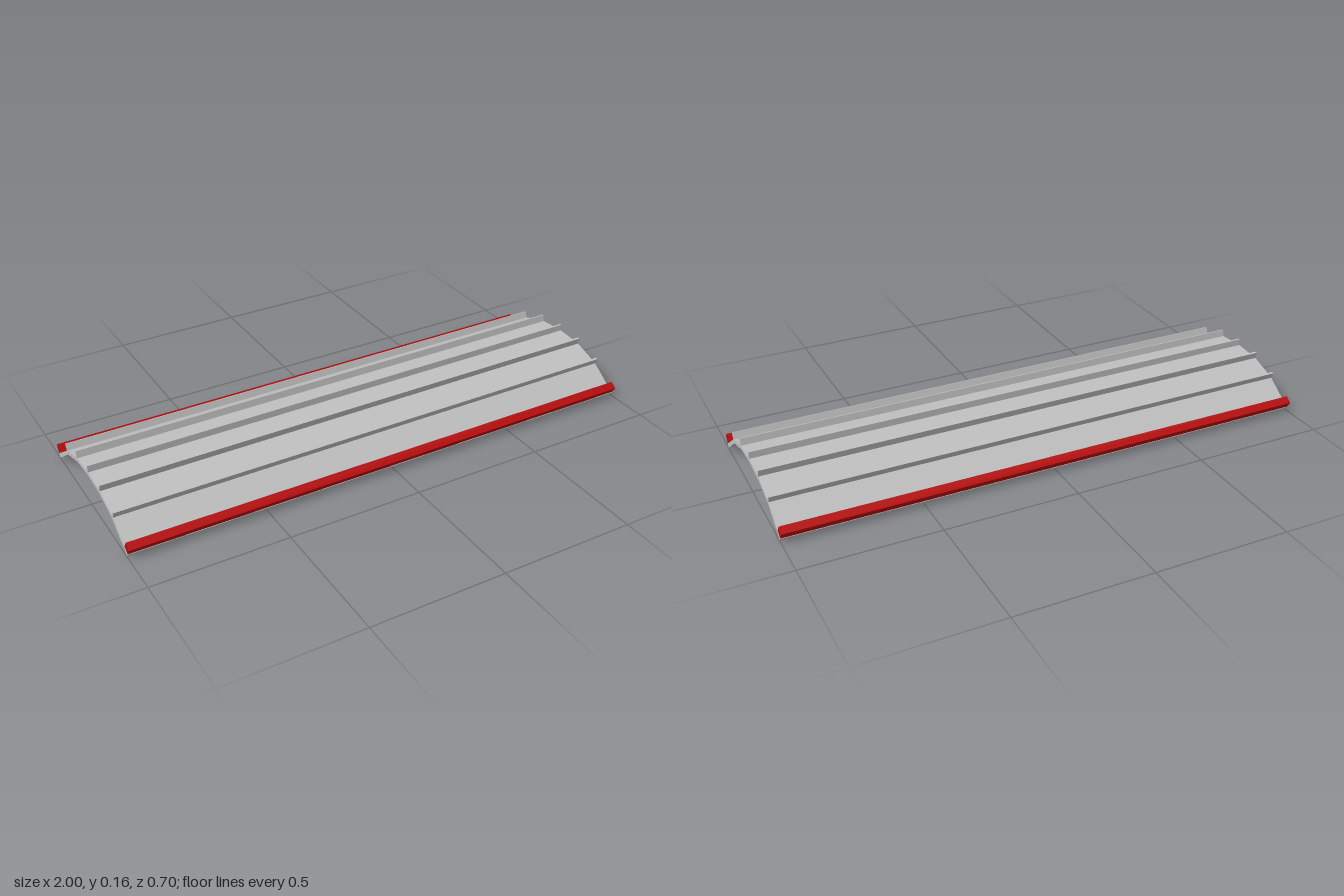
import * as THREE from 'three';

const LENGTH = 2;

// Extrudes a [z, y] cross-section along the x axis, centred on x = 0.
function extrudeAlongX(points, material, name) {
  const shape = new THREE.Shape(points.map(([z, y]) => new THREE.Vector2(-z, y)));
  const geometry = new THREE.ExtrudeGeometry(shape, { depth: LENGTH, bevelEnabled: false });
  geometry.translate(0, 0, -LENGTH / 2).rotateY(Math.PI / 2);
  const mesh = new THREE.Mesh(geometry, material);
  mesh.name = name;
  return mesh;
}

const mirror = (points) => points.map(([z, y]) => [-z, y]);

export function createModel() {
  const metal = new THREE.MeshStandardMaterial({ color: 0xc0c0c0 });
  metal.name = 'light grey metal';
  const red = new THREE.MeshStandardMaterial({ color: 0xb80d0d });
  red.name = 'red trim';

  const model = new THREE.Group();
  model.name = 'curvedPanel';

  // Faceted arched panel: outer half-profile from ridge to edge, then the inner one
  const outer = [[0, 0.135], [0.111, 0.127], [0.22, 0.093], [0.335, 0.015]];
  const inner = [[0, 0.121], [0.108, 0.112], [0.215, 0.079], [0.325, 0.001]];
  const outline = [
    ...mirror(outer.slice(1)).reverse(), ...outer,
    ...inner.slice(1).reverse(), ...mirror(inner),
  ];
  model.add(extrudeAlongX(outline, metal, 'archedPanel'));

  // Thin ribs standing on each fold
  const ridge = [[-0.004, 0.13], [0.004, 0.13], [0.004, 0.16], [-0.004, 0.16]];
  model.add(extrudeAlongX(ridge, metal, 'centreRib'));
  const sideParts = [
    ['upperRib', metal, [[0.113, 0.124], [0.119, 0.151], [0.111, 0.153], [0.105, 0.124]]],
    ['lowerRib', metal, [[0.223, 0.088], [0.234, 0.114], [0.226, 0.117], [0.216, 0.091]]],
    // Square red rail along each edge
    ['edgeRail', red, [[0.334, 0.016], [0.352, 0.042], [0.328, 0.059], [0.31, 0.033]]],
  ];
  for (const [name, material, points] of sideParts) {
    model.add(extrudeAlongX(points, material, name + 'Front'));
    model.add(extrudeAlongX(mirror(points), material, name + 'Back'));
  }
  return model;
}
